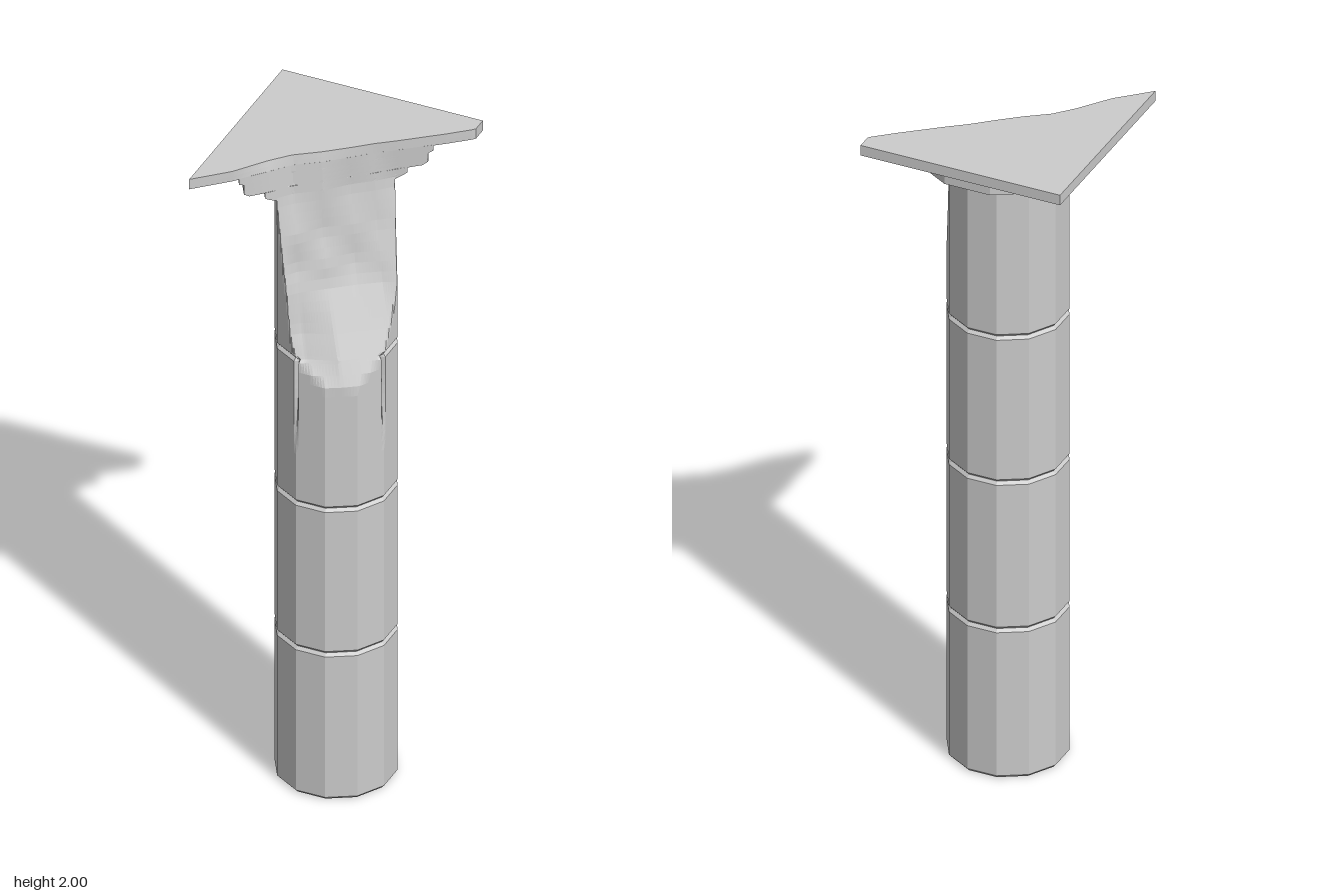
import * as THREE from 'three';

const material = new THREE.MeshStandardMaterial({ color: 0xcccccc, flatShading: true });

// Fracture: limit of s = (x+z)/√2 by height (rows) and t = (x-z)/√2 (columns)
const T = [-0.42, -0.3, -0.19, -0.12, -0.04, 0.04, 0.11, 0.17, 0.31, 0.42];
const ROWS = [
  [1.28, [0.25, 0.25, 0.23, 0.2, 0.2, 0.2, 0.22, 0.23, 0.25, 0.25]],
  [1.33, [0.15, 0.15, 0.13, 0.14, 0.162, 0.176, 0.185, 0.19, 0.2, 0.2]],
  [1.405, [0.08, 0.08, 0.07, 0.09, 0.13, 0.14, 0.15, 0.15, 0.15, 0.15]],
  [1.48, [0.06, 0.06, 0.054, 0.06, 0.095, 0.105, 0.115, 0.12, 0.12, 0.12]],
  [1.6, [0.045, 0.045, 0.045, 0.037, 0.042, 0.05, 0.062, 0.085, 0.085, 0.085]],
  [1.66, [0.03, 0.03, 0.035, 0.02, 0.035, 0.03, 0.05, 0.06, 0.06, 0.06]],
  [1.75, [0.015, 0.015, 0.014, 0.02, 0.008, 0.025, 0.025, 0.036, 0.04, 0.04]],
  [1.87, [0, 0.002, 0, -0.008, 0.005, 0, 0.008, 0.006, 0.02, 0.03]],
  [1.97, [0, 0.003, -0.006, -0.014, 0, 0.004, 0.006, 0.014, 0.028, 0.035]],
  [2.0, [0, 0.003, -0.014, -0.018, -0.005, 0.002, 0.006, 0.014, 0.028, 0.035]],
];

function bracket(keys, v) {
  let i = 0;
  while (i < keys.length - 2 && v > keys[i + 1]) i++;
  const f = (v - keys[i]) / (keys[i + 1] - keys[i]);
  return [i, Math.min(1, Math.max(0, f))];
}

function fractureLimit(t, y) {
  if (y < 1.28) return 1;
  const [r, fy] = bracket(ROWS.map((row) => row[0]), y);
  const [c, ft] = bracket(T, t);
  const at = (k) => THREE.MathUtils.lerp(ROWS[k][1][c], ROWS[k][1][c + 1], ft);
  return THREE.MathUtils.lerp(at(r), at(r + 1), fy);
}

// Regular polygon ring with subdivided sides, cut back to the fracture
function ring(sides, radius, y, start, perSide, crack) {
  const points = [];
  const corner = (k) => {
    const a = start + (k * 2 * Math.PI) / sides;
    return new THREE.Vector2(Math.cos(a) * radius, Math.sin(a) * radius);
  };
  for (let k = 0; k < sides; k++) {
    for (let j = 0; j < perSide; j++) {
      const p = corner(k).lerp(corner(k + 1), j / perSide);
      // Hairline cracks run down two of the corners
      if (crack && j === 0 && (k === 0 || k === 3)) p.multiplyScalar(1 - crack);
      const t = (p.x - p.y) / Math.SQRT2;
      const s = Math.min((p.x + p.y) / Math.SQRT2, fractureLimit(t, y));
      points.push([(s + t) / Math.SQRT2, y, (s - t) / Math.SQRT2]);
    }
  }
  return points;
}

// Closed solid through a stack of rings
function loft(name, rings, inset) {
  const n = rings[0].length;
  const positions = rings.flat(2);
  const index = [];
  for (let r = 0; r < rings.length - 1; r++) {
    for (let i = 0; i < n; i++) {
      const a = r * n + i, b = r * n + ((i + 1) % n);
      index.push(a, a + n, b, b, a + n, b + n);
    }
  }
  const bottom = rings.length * n, top = bottom + 1, last = bottom - n;
  positions.push(-inset, rings[0][0][1], -inset, -inset, rings.at(-1)[0][1], -inset);
  for (let i = 0; i < n; i++) {
    const j = (i + 1) % n;
    index.push(bottom, i, j, top, last + j, last + i);
  }
  const indexed = new THREE.BufferGeometry();
  indexed.setAttribute('position', new THREE.Float32BufferAttribute(positions, 3));
  indexed.setIndex(index);
  const geometry = indexed.toNonIndexed();
  geometry.computeVertexNormals();
  const mesh = new THREE.Mesh(geometry, material);
  mesh.name = name;
  return mesh;
}

// Twelve-sided stack from [radius, height] pairs, refined where it is broken
function turned(name, profile, inset, crackFrom = 9) {
  const rings = [];
  const add = (r, y) => {
    const crack = y > crackFrom ? Math.min(0.09, (y - crackFrom) * 0.35) : 0;
    rings.push(ring(12, r, y, Math.PI / 12, 10, crack));
  };
  profile.forEach(([r, y], i) => {
    if (i > 0) {
      const [r0, y0] = profile[i - 1];
      const steps = y > 1.1 ? Math.max(1, Math.ceil((y - y0) / 0.03)) : 1;
      for (let k = 1; k < steps; k++) {
        add(THREE.MathUtils.lerp(r0, r, k / steps), THREE.MathUtils.lerp(y0, y, k / steps));
      }
    }
    add(r, y);
  });
  return loft(name, rings, inset);
}

export function createModel() {
  const group = new THREE.Group();
  group.name = 'brokenColumn';

  // Shaft drums with bevelled ends
  const joints = [0, 0.473, 0.942, 1.404, 1.88];
  for (let i = 0; i < 4; i++) {
    const y0 = joints[i], y1 = joints[i + 1];
    const profile = [[0.162, y0], [0.17, y0 + 0.009], [0.17, y1 - 0.009], [0.162, y1]];
    if (i === 3) profile.splice(2, 2, [0.17, y1]);
    group.add(turned('drum' + (i + 1), profile, 0.05, i === 2 ? 1.1 : 9));
  }

  // Stepped capital
  group.add(turned('capital', [
    [0.17, 1.872], [0.19, 1.88], [0.205, 1.888], [0.205, 1.905], [0.25, 1.906],
    [0.266, 1.915], [0.266, 1.945], [0.28, 1.95], [0.28, 1.97],
  ], 0.07));

  // Square top slab, broken along the diagonal
  const slab = [1.968, 1.984, 2].map((y) => ring(4, 0.3 * Math.SQRT2, y, Math.PI / 4, 40, 0));
  group.add(loft('topSlab', slab, 0.1));

  return group;
}
